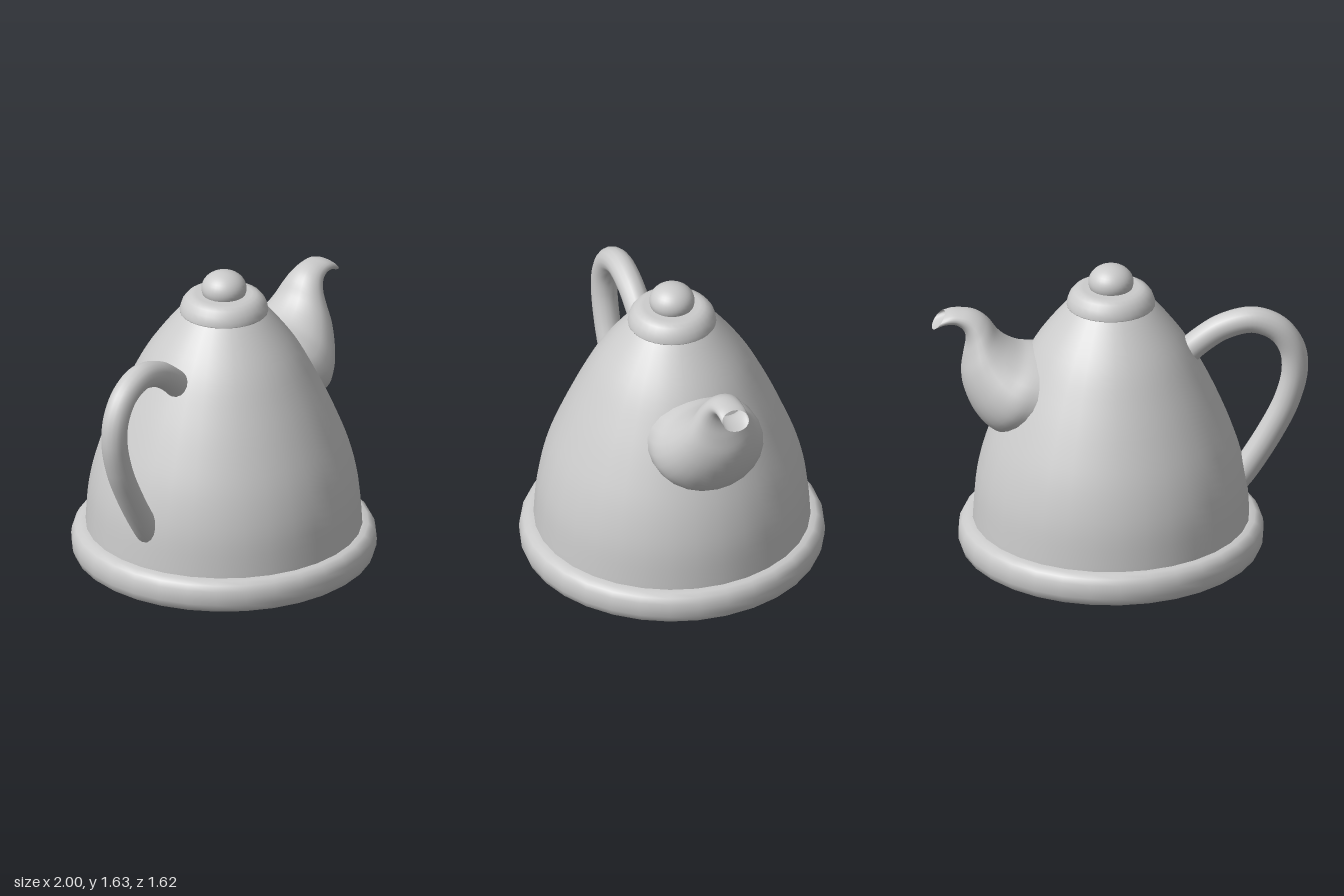
import * as THREE from 'three';

const AXIS_X = 0.045; // centre of the round body
const material = new THREE.MeshStandardMaterial({ color: 0xcccccc, side: THREE.DoubleSide });

function add(group, name, geometry) {
  const mesh = new THREE.Mesh(geometry, material);
  mesh.name = name;
  group.add(mesh);
  return mesh;
}

// Turned part around the body axis; profile is [radius, height] from bottom to top
function turned(group, name, profile, segments = 32) {
  const points = profile.map(([r, y]) => new THREE.Vector2(r, y));
  add(group, name, new THREE.LatheGeometry(points, segments)).position.x = AXIS_X;
}

// Smooth loft through elliptical sections [topX, topY, bottomX, bottomY, halfWidth]
function loft(sections, steps, sides) {
  const curve = (f) => new THREE.CatmullRomCurve3(sections.map(f));
  const tops = curve((s) => new THREE.Vector3(s[0], s[1], 0));
  const bottoms = curve((s) => new THREE.Vector3(s[2], s[3], 0));
  const widths = curve((s, i) => new THREE.Vector3(i, s[4], 0));
  const positions = [];
  const indices = [];
  for (let i = 0; i <= steps; i++) {
    const t = i / steps;
    const top = tops.getPoint(t);
    const bottom = bottoms.getPoint(t);
    const width = widths.getPoint(t).y;
    for (let j = 0; j < sides; j++) {
      const a = (j / sides) * Math.PI * 2;
      const p = bottom.clone().lerp(top, 0.5 + 0.5 * Math.cos(a));
      positions.push(p.x, p.y, width * Math.sin(a));
      if (i === steps) continue;
      const k = (j + 1) % sides;
      const [p0, p1, q0, q1] = [i * sides + j, i * sides + k, (i + 1) * sides + j, (i + 1) * sides + k];
      indices.push(p0, p1, q0, p1, q1, q0);
    }
  }
  const geometry = new THREE.BufferGeometry();
  geometry.setAttribute('position', new THREE.Float32BufferAttribute(positions, 3));
  geometry.setIndex(indices);
  geometry.computeVertexNormals();
  return geometry;
}

export function createModel() {
  const model = new THREE.Group();
  model.name = 'teapot';

  // Hollow bell-shaped body, open underneath
  const bodyCurve = new THREE.SplineCurve([
    [0.735, 0.1], [0.732, 0.2], [0.715, 0.4], [0.668, 0.6], [0.592, 0.8],
    [0.5, 1.0], [0.39, 1.2], [0.235, 1.4], [0.15, 1.48],
  ].map(([r, y]) => new THREE.Vector2(r, y)));
  turned(model, 'body', bodyCurve.getPoints(32).map((p) => [p.x, p.y]));

  // Rounded foot ring
  turned(model, 'footRing', [
    [0.73, 0.175], [0.73, 0.02], [0.74, 0.003], [0.775, 0], [0.795, 0.015], [0.808, 0.05],
    [0.81, 0.09], [0.805, 0.125], [0.79, 0.155], [0.765, 0.172], [0.73, 0.175],
  ]);

  // Domed lid and its knob
  turned(model, 'lid', [
    [0, 1.4], [0.234, 1.4], [0.235, 1.405], [0.232, 1.425], [0.222, 1.455],
    [0.2, 1.483], [0.175, 1.496], [0.15, 1.5], [0, 1.5],
  ]);
  const knob = add(model, 'lidKnob', new THREE.SphereGeometry(0.12, 32, 20));
  knob.scale.y = 0.8;
  knob.position.set(AXIS_X, 1.53, 0);

  // Looped handle, open ends running through the body wall
  const handlePath = new THREE.CatmullRomCurve3([
    [-0.34, 1.09], [-0.42, 1.165], [-0.55, 1.25], [-0.71, 1.285], [-0.84, 1.23], [-0.915, 1.12],
    [-0.93, 0.99], [-0.89, 0.82], [-0.81, 0.65], [-0.67, 0.42], [-0.6, 0.33],
  ].map(([x, y]) => new THREE.Vector3(x, y, 0)));
  add(model, 'handle', new THREE.TubeGeometry(handlePath, 64, 0.07, 16, false));

  // Wide-based spout narrowing to a curled lip
  add(model, 'spout', loft([
    [0.36, 1.15, 0.58, 0.7, 0.31],
    [0.44, 1.16, 0.68, 0.72, 0.31],
    [0.515, 1.17, 0.76, 0.8, 0.278],
    [0.59, 1.21, 0.82, 0.92, 0.225],
    [0.645, 1.26, 0.84, 1.03, 0.18],
    [0.69, 1.325, 0.828, 1.13, 0.138],
    [0.735, 1.365, 0.815, 1.21, 0.11],
    [0.79, 1.388, 0.825, 1.27, 0.09],
    [0.85, 1.393, 0.865, 1.31, 0.08],
    [0.89, 1.39, 0.93, 1.315, 0.078],
    [0.925, 1.38, 0.995, 1.29, 0.075],
  ], 40, 24));

  return model;
}
